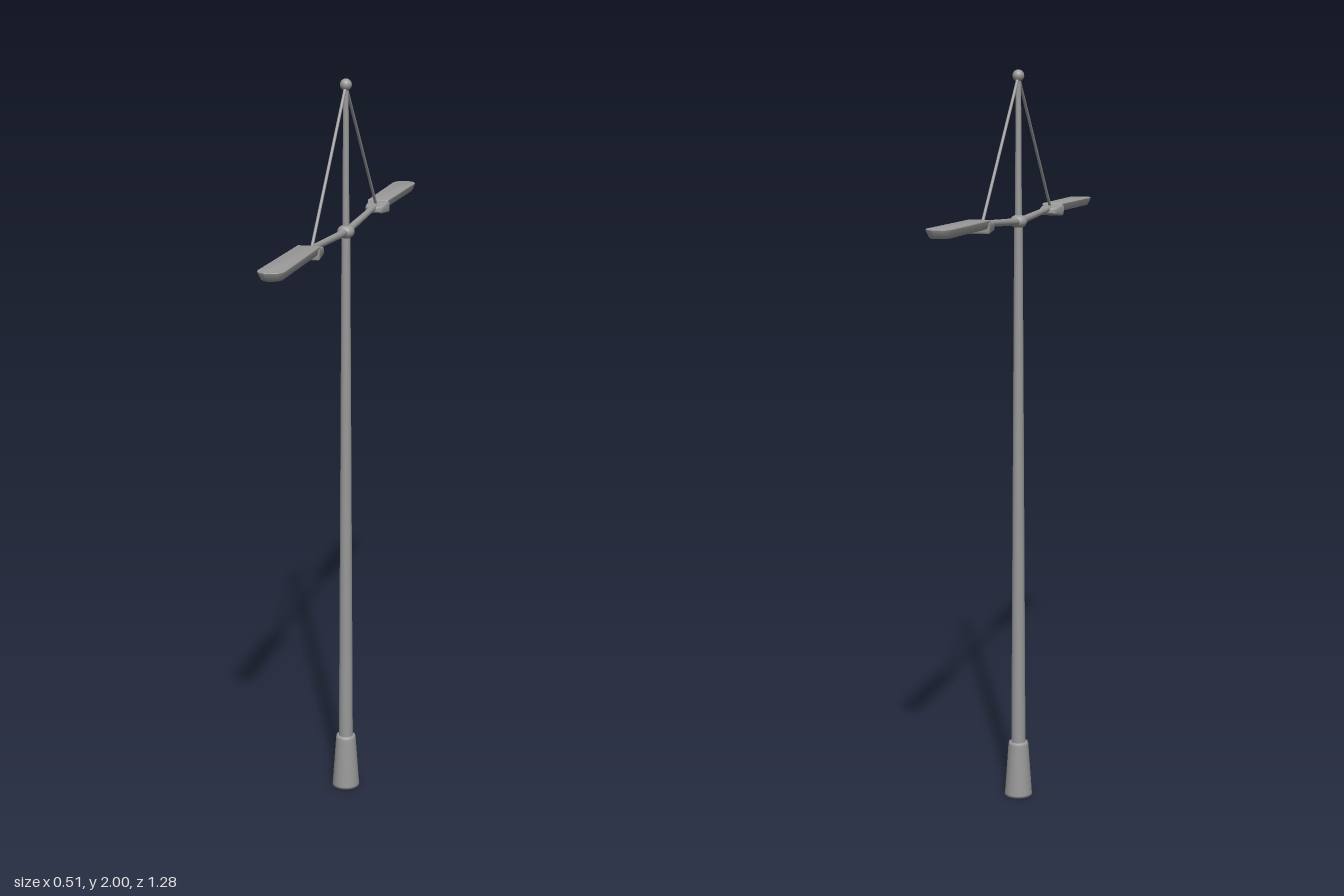
import * as THREE from 'three';
import { toCreasedNormals } from 'three/addons/utils/BufferGeometryUtils.js';

const material = new THREE.MeshStandardMaterial({ color: 0x999999, side: THREE.DoubleSide });

function part(name, geometry, parent) {
  const mesh = new THREE.Mesh(geometry, material);
  mesh.name = name;
  parent.add(mesh);
  return mesh;
}

// Round bar between two points
function rod(name, a, b, r1, r2, parent) {
  const start = new THREE.Vector3(...a), end = new THREE.Vector3(...b);
  const mesh = part(name, new THREE.CylinderGeometry(r2, r1, start.distanceTo(end), 16), parent);
  mesh.position.copy(start).add(end).multiplyScalar(0.5);
  mesh.quaternion.setFromUnitVectors(new THREE.Vector3(0, 1, 0), end.sub(start).normalize());
}

// Bevelled slab from a plan outline, then bent by a rule on each vertex;
// the outline's y points outward along -z
function slab(shape, y0, y1, bevel, rule) {
  const geometry = new THREE.ExtrudeGeometry(shape, {
    depth: y1 - y0 - 2 * bevel, bevelThickness: bevel, bevelSize: bevel,
    bevelOffset: -bevel, bevelSegments: 3, curveSegments: 14,
  });
  geometry.rotateX(-Math.PI / 2).translate(0, y0 + bevel, 0);
  const p = geometry.attributes.position, v = new THREE.Vector3();
  for (let i = 0; i < p.count; i++) {
    rule(v.fromBufferAttribute(p, i));
    p.setXYZ(i, v.x, v.y, v.z);
  }
  return toCreasedNormals(geometry, 0.6);
}

// One arm with its lamp head and stay cable, reaching toward -z
function createBranch() {
  const branch = new THREE.Group();
  rod('arm', [0, 1.605, 0], [0, 1.622, -0.32], 0.01, 0.008, branch);
  rod('stayCable', [0, 1.983, 0], [0, 1.626, -0.315], 0.004, 0.004, branch);

  // Long lamp head with a blunt rounded tip, narrower underneath
  const head = new THREE.Shape();
  head.moveTo(-0.03, 0.34);
  head.lineTo(0.03, 0.34);
  head.lineTo(0.034, 0.645);
  head.bezierCurveTo(0.034, 0.69, -0.034, 0.69, -0.034, 0.645);
  head.closePath();
  part('lampHead', slab(head, 1.611, 1.634, 0.004, (v) => {
    const drop = (1.634 - v.y) / 0.023;
    v.x *= 1 - 0.22 * drop;
    if (v.z < -0.5) v.z += 0.012 * drop;
  }), branch);

  // Tapered neck: top slopes toward the arm, belly rises at the inner end
  const neck = new THREE.Shape();
  neck.moveTo(0.03, 0.352);
  neck.lineTo(-0.03, 0.352);
  neck.lineTo(-0.026, 0.3);
  neck.bezierCurveTo(-0.018, 0.275, 0.018, 0.275, 0.026, 0.3);
  neck.closePath();
  part('lampNeck', slab(neck, 1.599, 1.631, 0.005, (v) => {
    const t = THREE.MathUtils.clamp((0.352 + v.z) / 0.07, 0, 1);
    v.y += v.y > 1.615 ? -0.009 * t : 0.008 * t * t;
  }), branch);
  return branch;
}

export function createModel() {
  const model = new THREE.Group();
  model.name = 'streetLamp';

  // Flared foot, tapering pole and finial
  const foot = [[0, 0], [0.039, 0], [0.038, 0.006], [0.028, 0.148], [0.026, 0.155], [0.018, 0.156]];
  part('foot', new THREE.LatheGeometry(foot.map(([x, y]) => new THREE.Vector2(x, y)), 24), model);
  rod('pole', [0, 0.15, 0], [0, 1.61, 0], 0.02, 0.0115, model);
  rod('mast', [0, 1.6, 0], [0, 1.985, 0], 0.0095, 0.007, model);
  part('finial', new THREE.SphereGeometry(0.0155, 20, 14), model).position.y = 1.985;

  // Hub where the arms meet the pole
  const hub = part('hub', new THREE.SphereGeometry(0.023, 20, 14), model);
  hub.position.y = 1.606;
  hub.scale.y = 0.8;

  // Two opposite branches, turned off the z axis
  ['rearBranch', 'frontBranch'].forEach((name, i) => {
    const branch = createBranch();
    branch.name = name;
    branch.rotation.y = THREE.MathUtils.degToRad(-20) + i * Math.PI;
    model.add(branch);
  });
  return model;
}
